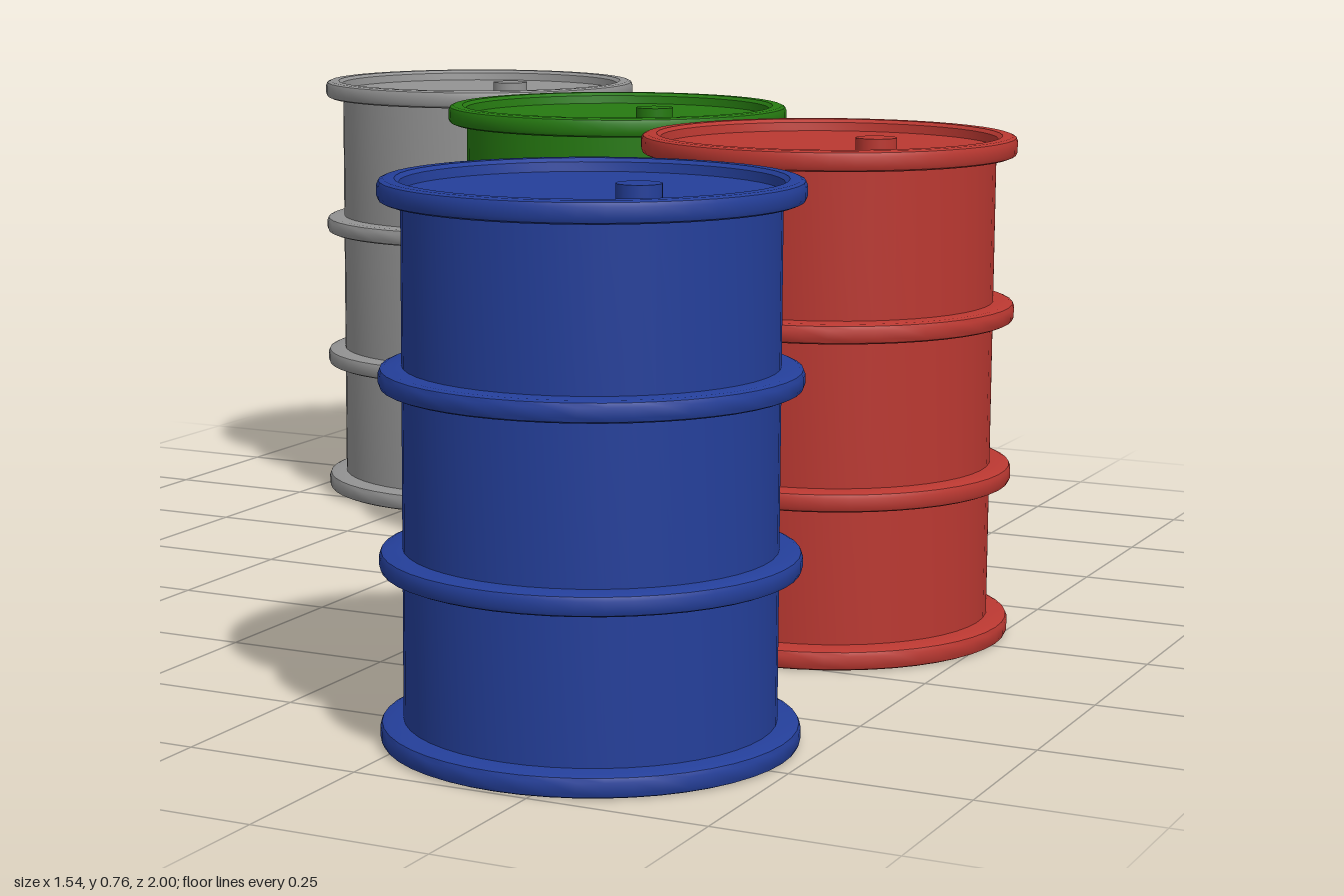
import * as THREE from 'three';
import { toCreasedNormals } from 'three/addons/utils/BufferGeometryUtils.js';

const SEGMENTS = 48;
const BODY_R = 0.249;
const RIM_R = 0.28;
const LID_Y = 0.737;

function material(name, color) {
  const m = new THREE.MeshStandardMaterial({ color });
  m.name = name;
  return m;
}

// Rounded outer edge of a hoop spanning y0 to y1
function hoop(y0, y1) {
  const c = 0.008;
  return [
    [RIM_R - c, y0], [RIM_R - c * 0.3, y0 + c * 0.3], [RIM_R, y0 + c],
    [RIM_R, y1 - c], [RIM_R - c * 0.3, y1 - c * 0.3], [RIM_R - c, y1],
  ];
}

// Closed drum shell: flat base, four hoops, recessed lid
function shellGeometry() {
  const profile = [
    [0, 0.002], ...hoop(0.002, 0.032), [BODY_R, 0.034],
    [BODY_R, 0.234], ...hoop(0.235, 0.264), [BODY_R, 0.265],
    [BODY_R, 0.478], ...hoop(0.479, 0.508), [BODY_R, 0.509],
    [BODY_R, 0.724], ...hoop(0.725, 0.755),
    [0.257, 0.755], [0.251, 0.75], [0.249, LID_Y], [0, LID_Y],
  ].map(([r, y]) => new THREE.Vector2(r, y));
  return toCreasedNormals(new THREE.LatheGeometry(profile, SEGMENTS), 0.6);
}

// Triangular warning plate standing just proud of the back wall
function plateGeometry() {
  const shape = new THREE.Shape();
  shape.moveTo(-0.083, 0.287);
  shape.lineTo(0.083, 0.287);
  shape.lineTo(0, 0.455);
  shape.closePath();
  const g = new THREE.ExtrudeGeometry(shape, { depth: 0.023, bevelEnabled: false });
  return g.translate(0, 0, -0.259);
}

export function createModel() {
  const model = new THREE.Group();
  model.name = 'drums';

  const shell = shellGeometry();
  const bung = new THREE.CylinderGeometry(0.03, 0.03, 0.026, 24);
  const plate = plateGeometry();
  const yellow = material('warning yellow', 0xc2b012);

  const drums = [
    ['grey', 0x939393, -0.49, -0.72],
    ['green', 0x267a11, -0.025, -0.338],
    ['red', 0xba3831, 0.488, -0.003],
    ['blue', 0x243f9a, 0.451, 0.72],
  ];

  for (const [name, color, x, z] of drums) {
    const paint = material(`${name} paint`, color);
    const drum = new THREE.Group();
    drum.name = `${name}Drum`;
    drum.position.set(x, 0, z);

    const body = new THREE.Mesh(shell, paint);
    body.name = 'drumShell';

    const cap = new THREE.Mesh(bung, paint);
    cap.name = 'bungCap';
    cap.position.set(0.11, LID_Y + 0.011, 0.088);

    const sign = new THREE.Mesh(plate, yellow);
    sign.name = 'warningTriangle';

    drum.add(body, cap, sign);
    model.add(drum);
  }
  return model;
}
